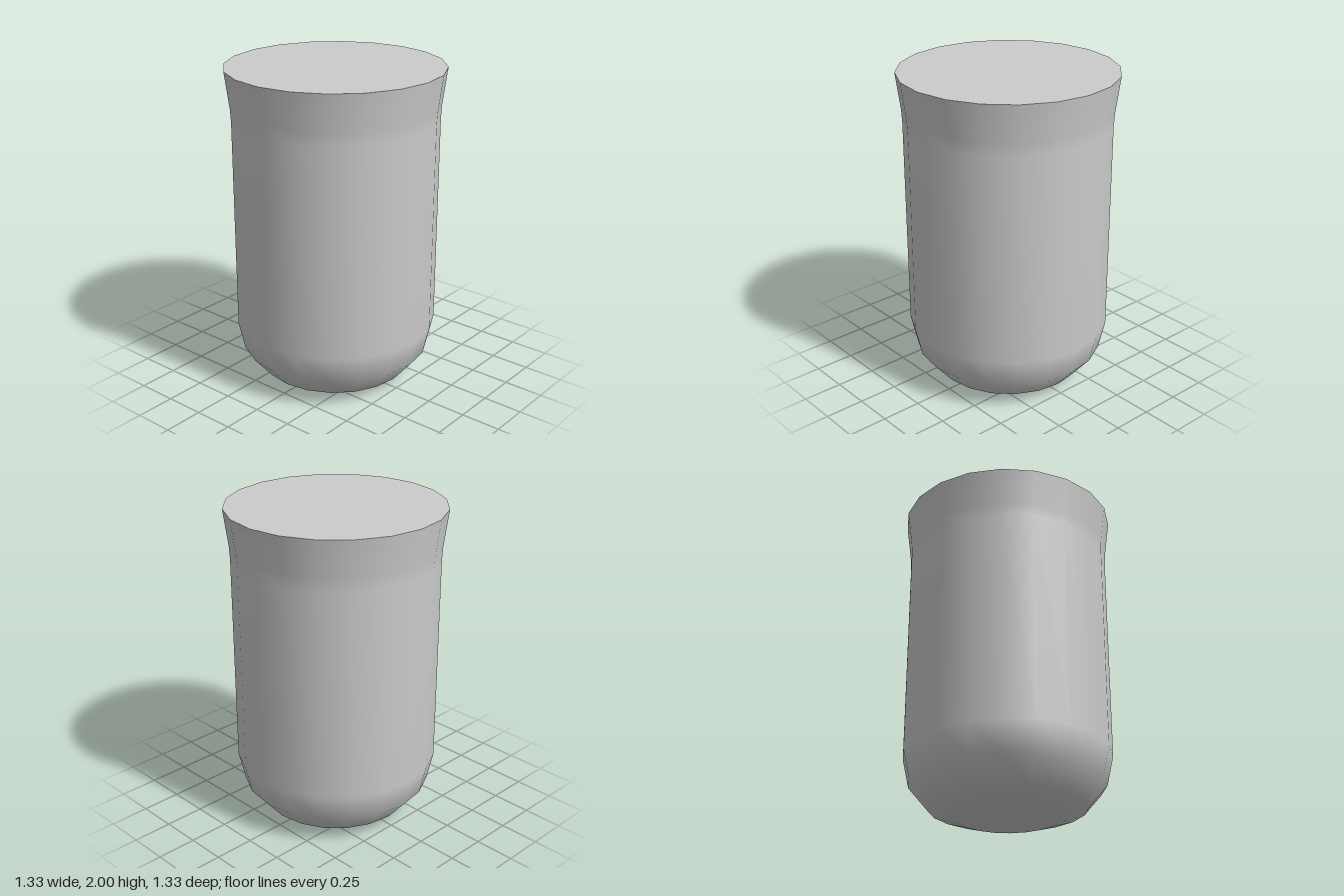
import * as THREE from 'three';

const SIDES = 20;

export function createModel() {
  const group = new THREE.Group();
  group.name = 'roundedCup';
  const material = new THREE.MeshStandardMaterial({ color: 0xcccccc });

  // Body: flat base, rounded shoulder, straight wall and flared rim
  const profile = [
    [0, 0], [0.31, 0], [0.475, 0.055], [0.593, 0.195], [0.633, 0.375],
    [0.633, 1.69], [0.637, 1.77], [0.667, 2],
  ].map(([r, y]) => new THREE.Vector2(r, y));
  const body = new THREE.Mesh(new THREE.LatheGeometry(profile, SIDES), material);
  body.name = 'body';

  // Flat lid closing the rim, with a sharp edge
  const lid = new THREE.Mesh(new THREE.CircleGeometry(0.667, SIDES), material);
  lid.name = 'lid';
  lid.rotation.x = -Math.PI / 2;
  lid.position.y = 2;

  group.add(body, lid);
  return group;
}
